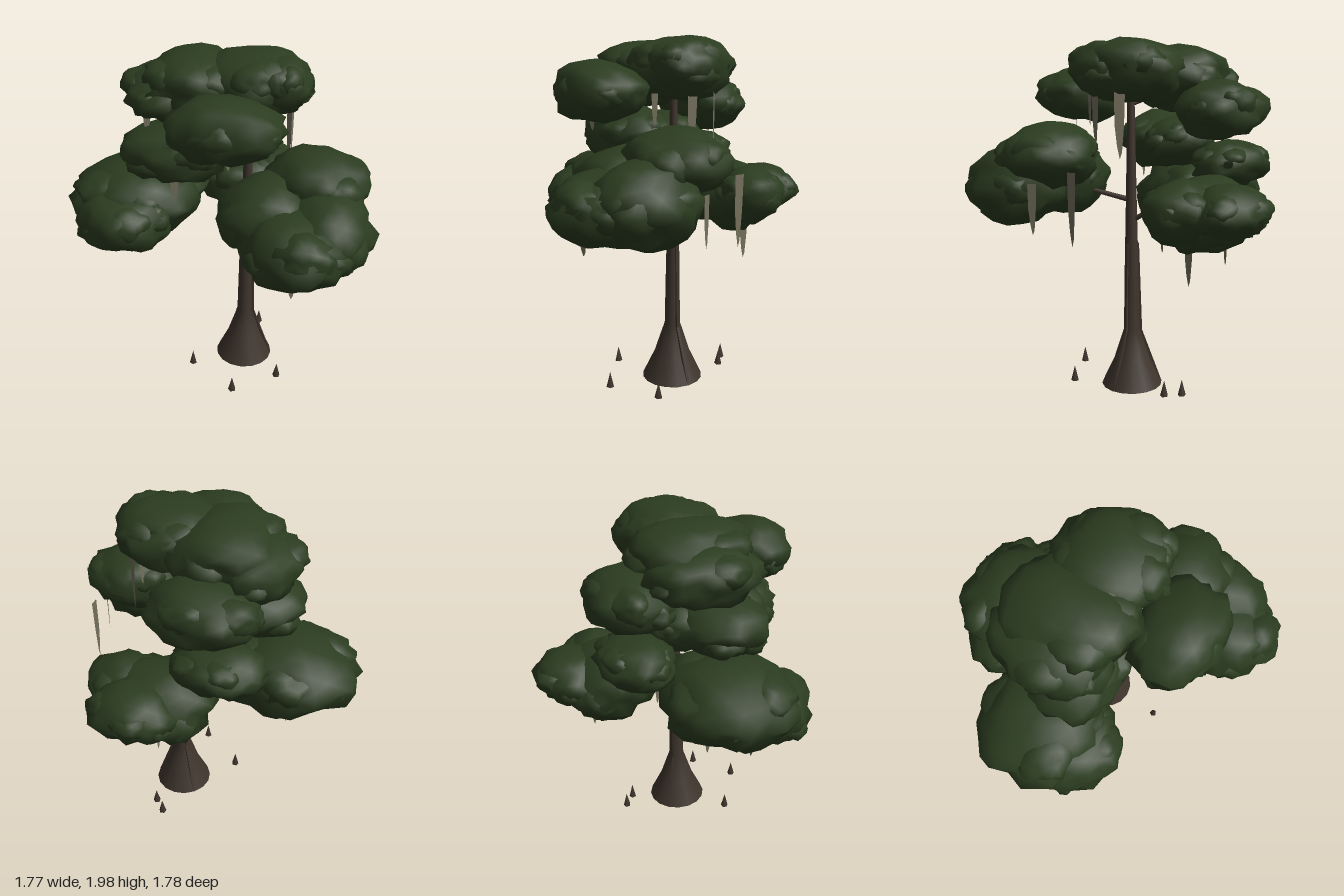
import * as THREE from 'three';
import { mergeGeometries, mergeVertices } from 'three/addons/utils/BufferGeometryUtils.js';

const TRUNK_X = 0.18;

function mat(name, color, side = THREE.FrontSide) {
  const m = new THREE.MeshStandardMaterial({ color, side });
  m.name = name;
  return m;
}

function seeded(seed) {
  let s = seed;
  return () => {
    s = (s * 16807) % 2147483647;
    return s / 2147483647;
  };
}

// Lumpy ellipsoid: broad waves, smooth on top and ragged around the rim and underside
function blob(x, y, z, rx, ry, rz, rand) {
  let g = new THREE.IcosahedronGeometry(1, 3);
  g.deleteAttribute('normal');
  g.deleteAttribute('uv');
  g = mergeVertices(g, 1e-3);
  const p = g.attributes.position;
  const v = new THREE.Vector3();
  const a = rand() * 6, b = rand() * 6, c = rand() * 6;
  for (let i = 0; i < p.count; i++) {
    v.fromBufferAttribute(p, i);
    const wave = Math.sin(v.x * 4 + a) * Math.sin(v.y * 4 + b) + Math.sin(v.z * 4 + c) * 0.6;
    const ragged = v.y > 0.6 ? 0.07 : 0.2;
    const k = 1.01 + wave * 0.055 + (rand() - 0.5) * ragged;
    p.setXYZ(i, x + v.x * k * rx, y + v.y * k * ry, z + v.z * k * rz);
  }
  g.computeVertexNormals();
  return g;
}

// A main clump with smaller clumps breaking its outline
function clump([x, y, z, rx, ry, rz], seed) {
  const rand = seeded(seed * 7919 + 13);
  for (let i = 0; i < 5; i++) rand();
  const parts = [blob(x, y, z, rx, ry, rz, rand)];
  const n = 5, start = rand() * 6;
  for (let i = 0; i < n; i++) {
    const t = start + (i / n) * Math.PI * 2 + (rand() - 0.5) * 0.5;
    const s = 0.46 + rand() * 0.1;
    parts.push(blob(
      x + Math.cos(t) * rx * 0.52, y + (rand() - 0.55) * ry * 0.6, z + Math.sin(t) * rz * 0.52,
      rx * s, ry * s * 1.1, rz * s, rand));
  }
  return mergeGeometries(parts);
}

export function createModel() {
  const root = new THREE.Group();
  root.name = 'tree';
  const bark = mat('bark', 0x3e342c, THREE.DoubleSide);
  const leaf = mat('leaf', 0x2b3c20);
  const moss = mat('moss', 0x75715e, THREE.DoubleSide);
  const add = (name, geo, m, parent = root) => {
    const mesh = new THREE.Mesh(geo, m);
    mesh.name = name;
    parent.add(mesh);
    return mesh;
  };
  const group = (name) => {
    const g = new THREE.Group();
    g.name = name;
    root.add(g);
    return g;
  };
  const points = (list) => list.map(([x, y]) => new THREE.Vector2(x, y));

  // Trunk: flared and open at the base
  const profile = points([[0.176, 0.01], [0.105, 0.16], [0.076, 0.25], [0.046, 0.34], [0.04, 0.7],
    [0.033, 1.0], [0.026, 1.35], [0.02, 1.7]]);
  add('trunk', new THREE.LatheGeometry(profile, 16), bark).position.x = TRUNK_X;

  // Thin buttress fins running up the flare
  const finShape = new THREE.Shape(points([[0.165, 0.02], [0.172, 0.02], [0.118, 0.17], [0.06, 0.33],
    [0.043, 0.85], [0.03, 0.85], [0.035, 0.34], [0.09, 0.17]]));
  const finGeo = new THREE.ExtrudeGeometry(finShape, { depth: 0.016, bevelEnabled: false });
  finGeo.translate(0, 0, -0.008);
  const fins = group('buttressFins');
  [0, Math.PI * 0.75].forEach((angle) => {
    const f = add('buttressFin', finGeo, bark, fins);
    f.position.x = TRUNK_X;
    f.rotation.y = angle;
  });

  // Branches inside the crown: start height, end point
  const branches = group('branches');
  [
    [0.98, 0.1, 1.13, -0.24], [1.1, 0.4, 1.2, 0.3], [1.64, -0.02, 1.72, -0.12],
  ].forEach(([y0, x, y, z]) => {
    const from = new THREE.Vector3(TRUNK_X, y0, 0);
    const dir = new THREE.Vector3(x, y, z).sub(from);
    const g = new THREE.CylinderGeometry(0.01, 0.016, dir.length(), 6);
    const b = add('branch', g, bark, branches);
    b.position.copy(from).addScaledVector(dir, 0.5);
    b.quaternion.setFromUnitVectors(new THREE.Vector3(0, 1, 0), dir.normalize());
  });

  // Leaf pads: centre x, y, z then radii x, y, z
  const foliage = group('foliage');
  [
    [-0.48, 1.1, -0.02, 0.38, 0.22, 0.33],
    [-0.5, 1.04, 0.2, 0.28, 0.18, 0.23],
    [0.33, 1.23, 0.4, 0.26, 0.21, 0.25],
    [0.49, 1.16, 0.61, 0.27, 0.19, 0.26],
    [0.62, 1.2, 0.46, 0.24, 0.21, 0.29],
    [0.57, 1.37, 0.25, 0.26, 0.17, 0.27],
    [0.1, 1.06, -0.46, 0.29, 0.2, 0.27],
    [0.18, 1.1, -0.65, 0.22, 0.14, 0.21],
    [0.31, 1.09, -0.45, 0.2, 0.16, 0.2],
    [-0.2, 1.31, -0.42, 0.25, 0.13, 0.2],
    [-0.21, 1.43, 0.05, 0.31, 0.17, 0.25],
    [-0.1, 1.43, -0.13, 0.23, 0.14, 0.18],
    [-0.12, 1.61, -0.41, 0.29, 0.16, 0.21],
    [0.11, 1.7, 0.43, 0.3, 0.165, 0.21],
    [-0.28, 1.74, -0.06, 0.25, 0.16, 0.3],
    [-0.12, 1.8, -0.05, 0.29, 0.175, 0.33],
    [0.21, 1.82, -0.02, 0.28, 0.175, 0.29],
    [0.36, 1.83, 0.06, 0.15, 0.14, 0.18],
  ].forEach((c, i) => add('leafPad', clump(c, i + 1), leaf, foliage));

  // Hanging moss: x, top y, z, bottom y, top width, turn (0 faces front)
  const strands = group('hangingMoss');
  [
    [0.42, 1.69, 0.045, 1.42, 0.055, 1.4], [0.4, 1.7, -0.11, 1.35, 0.058, 2.36],
    [0.75, 1.23, 0.19, 0.96, 0.05, 2.0], [0.7, 1.3, -0.05, 0.92, 0.055, 1.6],
    [0.26, 0.98, -0.46, 0.69, 0.055, 1.5], [0.08, 0.93, -0.57, 0.79, 0.03, 1.2],
    [-0.62, 0.95, 0.05, 0.8, 0.035, 0.6], [-0.52, 0.95, -0.16, 0.83, 0.03, 1.2],
    [0.64, 1.06, 0.36, 0.98, 0.03, 0.8], [0.48, 1.1, 0.72, 0.94, 0.05, 0.5],
    [-0.2, 1.34, 0.22, 1.19, 0.05, 0.2], [-0.31, 1.34, 0.12, 1.22, 0.04, 0.5],
    [0.13, 1.62, 0.48, 1.5, 0.04, 0.6], [-0.37, 1.65, 0.1, 1.53, 0.04, 0.4],
    [0.3, 1.69, 0.2, 1.52, 0.035, 1.3], [0.1, 0.95, -0.16, 0.8, 0.03, 1.5],
  ].forEach(([x, top, z, bottom, w, turn]) => {
    const h = top - bottom;
    const shape = new THREE.Shape(points([[-w * 0.5, 0], [-w * 0.45, -h * 0.5], [-w * 0.25, -h * 0.8],
      [0, -h], [w * 0.2, -h * 0.9], [w * 0.4, -h * 0.5], [w * 0.5, 0]]));
    const m = add('mossStrand', new THREE.ShapeGeometry(shape), moss, strands);
    m.position.set(x, top, z);
    m.rotation.y = turn;
  });

  // Root knees around the base
  const knees = group('rootKnees');
  const kneeGeo = new THREE.ConeGeometry(0.023, 0.09, 5);
  [[-0.12, 0.2], [0.155, 0.41], [0.41, 0.245], [0.25, -0.295], [0.18, -0.365]].forEach(([x, z], i) => {
    const k = add('rootKnee', kneeGeo, bark, knees);
    k.position.set(x, 0.075, z);
    k.rotation.y = i;
  });

  return root;
}
